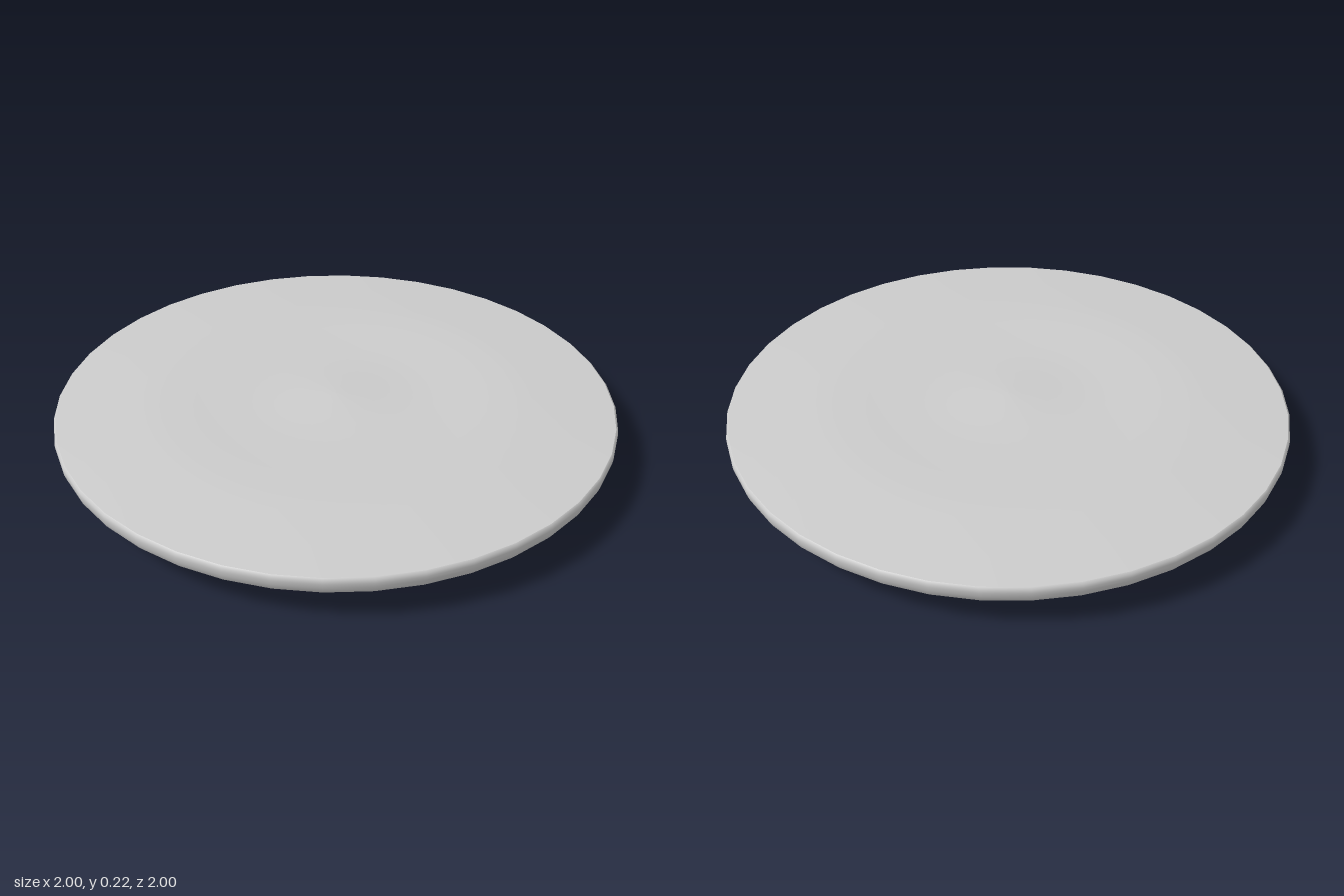
import * as THREE from 'three';

const SEGMENTS = 40;

export function createModel() {
  const group = new THREE.Group();
  group.name = 'spinningTop';
  const material = new THREE.MeshStandardMaterial({ color: 0xcccccc });

  // Each profile is [radius, height], running so that its faces point outward.
  const turn = (name, profile) => {
    const points = profile.map(([r, y]) => new THREE.Vector2(r, y));
    const mesh = new THREE.Mesh(new THREE.LatheGeometry(points, SEGMENTS), material);
    mesh.name = name;
    group.add(mesh);
  };

  // Rounded cone the top spins on
  turn('tip', [
    [0, 0], [0.03, 0.002], [0.055, 0.008], [0.075, 0.02], [0.092, 0.04],
    [0.125, 0.082], [0.174, 0.143],
  ]);

  // Slightly hollow underside of the disc
  turn('underside', [[0.174, 0.143], [0.984, 0.122]]);

  // Rounded outer edge
  turn('rim', [
    [0.984, 0.122], [0.992, 0.132], [0.998, 0.15], [1, 0.165], [0.999, 0.178], [0.992, 0.184],
  ]);

  // Gently sloped upper face with a shallow dish and low central rise
  turn('upperFace', [
    [0.992, 0.184], [0.85, 0.194], [0.7, 0.203], [0.62, 0.206], [0.5, 0.204],
    [0.35, 0.2], [0.25, 0.201], [0.14, 0.207], [0.05, 0.214], [0, 0.215],
  ]);

  return group;
}
